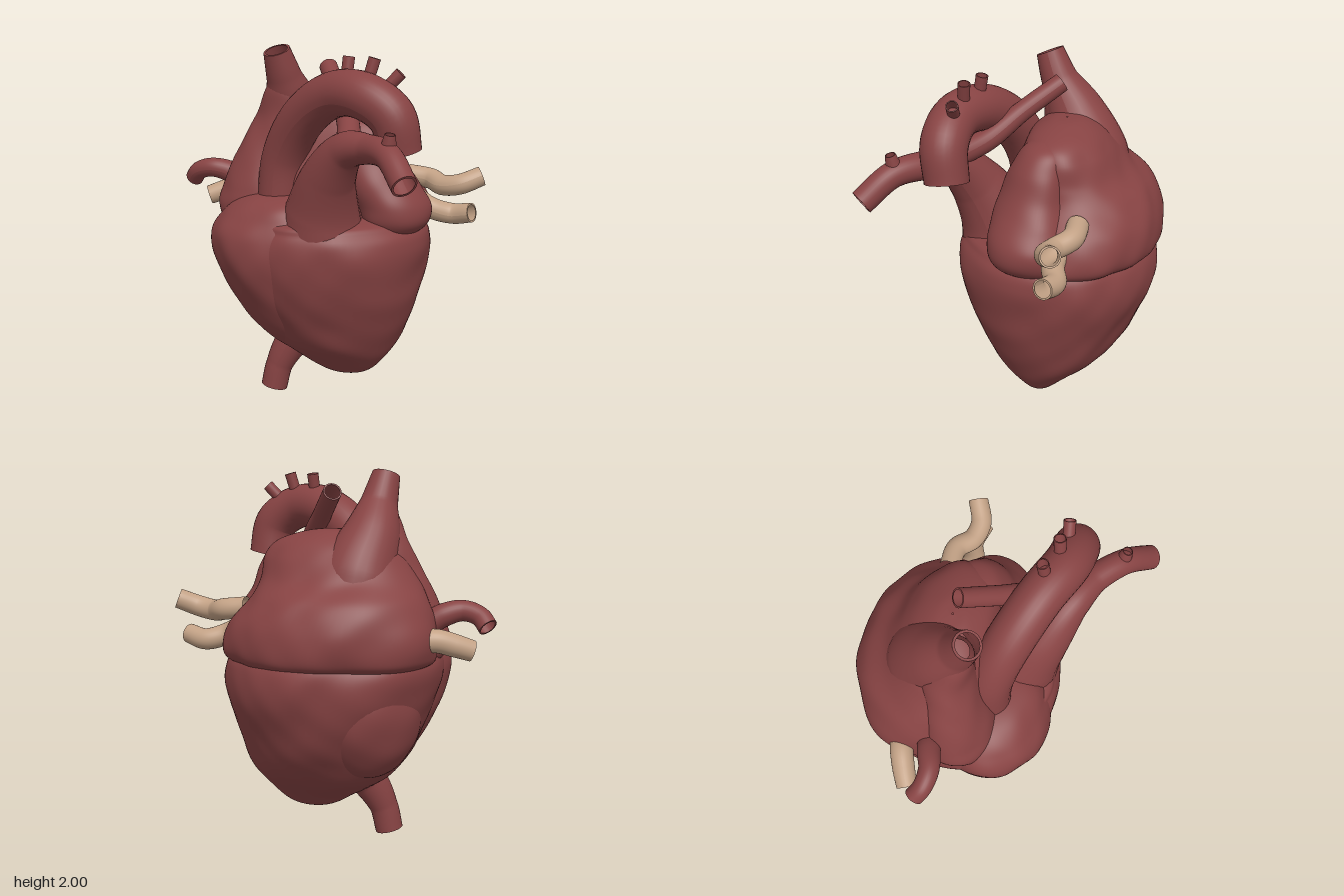
import * as THREE from 'three';

const V = (x, y, z) => new THREE.Vector3(x, y, z);

// Small smooth lumps that keep the muscle from looking machined
const lumps = (x, y, z) =>
  0.008 * Math.sin(9 * x + 5 * y + 2) * Math.sin(8 * z - 6 * y) +
  0.005 * Math.sin(11 * y + 14 * x) * Math.cos(13 * z + 4 * x) +
  0.003 * Math.sin(27 * x + 17 * z) * Math.sin(23 * y);

// Closed skin through elliptical sections [y, centreX, centreZ, radiusX, radiusZ]
function loft(sections, rings = 72, sides = 96) {
  const centres = new THREE.CatmullRomCurve3(sections.map(s => V(s[1], s[0], s[2])), false, 'catmullrom', 0.5);
  const radii = new THREE.CatmullRomCurve3(sections.map(s => V(s[3], s[4], 0)), false, 'catmullrom', 0.5);
  const pos = [], index = [];
  for (let i = 0; i <= rings; i++) {
    const c = centres.getPoint(i / rings), r = radii.getPoint(i / rings);
    const fade = Math.min(1, Math.min(r.x, r.y) / 0.15);
    for (let j = 0; j < sides; j++) {
      const a = (j / sides) * Math.PI * 2, ca = Math.cos(a), sa = Math.sin(a);
      const x = c.x + r.x * ca, z = c.z + r.y * sa;
      const d = fade * lumps(x, c.y, z);
      pos.push(x + d * ca, c.y, z + d * sa);
      if (i < rings) {
        const k = (j + 1) % sides, p = i * sides, q = p + sides;
        index.push(p + j, q + j, p + k, q + j, q + k, p + k);
      }
    }
  }
  const g = new THREE.BufferGeometry();
  g.setAttribute('position', new THREE.Float32BufferAttribute(pos, 3));
  g.setIndex(index);
  g.computeVertexNormals();
  return g;
}

// Lumpy ellipsoid for rounded swellings
function lobe([x, y, z], [rx, ry, rz]) {
  const sections = [];
  for (let i = 0; i <= 14; i++) {
    const a = (i / 14) * Math.PI, s = Math.max(0.01, Math.sin(a));
    sections.push([y - ry * Math.cos(a), x, z, rx * s, rz * s]);
  }
  return loft(sections, 42, 56);
}

// Tapered hollow vessel through stations [x, y, z, radius]; the last one is the open end
function vessel(name, material, stations) {
  const group = new THREE.Group();
  group.name = name;
  const curve = new THREE.CatmullRomCurve3(stations.map(s => V(s[0], s[1], s[2])));
  const last = stations.length - 1, steps = stations.length * 10, sides = 28;
  const g = new THREE.TubeGeometry(curve, steps, 1, sides);
  const p = g.attributes.position, n = g.attributes.normal;
  for (let i = 0; i <= steps; i++) {
    const c = curve.getPointAt(i / steps);
    const t = curve.getUtoTmapping(i / steps) * last;
    const k = Math.min(Math.floor(t), last - 1);
    const r = THREE.MathUtils.lerp(stations[k][3], stations[k + 1][3], t - k);
    for (let j = 0; j <= sides; j++) {
      const m = i * (sides + 1) + j;
      p.setXYZ(m, c.x + n.getX(m) * r, c.y + n.getY(m) * r, c.z + n.getZ(m) * r);
    }
  }
  g.computeVertexNormals();
  const wall = new THREE.Mesh(g, material);
  wall.name = name + 'Wall';
  const r = stations[last][3];
  const rim = new THREE.Mesh(new THREE.RingGeometry(r * 0.82, r, sides), material);
  rim.name = name + 'Rim';
  rim.position.copy(curve.getPointAt(1));
  rim.quaternion.setFromUnitVectors(V(0, 0, 1), curve.getTangentAt(1));
  group.add(wall, rim);
  return group;
}

export function createModel() {
  const model = new THREE.Group();
  model.name = 'heart';
  const red = new THREE.MeshStandardMaterial({ color: 0x874343, side: THREE.DoubleSide });
  red.name = 'muscle red';
  const beige = new THREE.MeshStandardMaterial({ color: 0xc2a185, side: THREE.DoubleSide });
  beige.name = 'vein beige';

  const add = (name, geometry) => {
    const mesh = new THREE.Mesh(geometry, red);
    mesh.name = name;
    model.add(mesh);
  };

  // Ventricles: the right one stands slightly proud along a slanting front groove
  add('ventricles', loft([
    [0.13, 0.14, -0.12, 0.005, 0.005],
    [0.155, 0.14, -0.12, 0.12, 0.07],
    [0.22, 0.12, -0.125, 0.225, 0.15],
    [0.35, 0.07, -0.145, 0.37, 0.31],
    [0.5, 0.04, -0.16, 0.46, 0.41],
    [0.65, 0.03, -0.165, 0.52, 0.485],
    [0.8, 0.015, -0.17, 0.565, 0.535],
    [0.93, 0.0, -0.17, 0.59, 0.545],
    [1.02, -0.01, -0.17, 0.57, 0.515],
    [1.08, -0.04, -0.17, 0.48, 0.44],
    [1.12, -0.05, -0.17, 0.01, 0.01],
  ]));
  add('rightVentricle', loft([
    [0.24, -0.06, -0.09, 0.01, 0.01],
    [0.28, -0.07, -0.08, 0.12, 0.1],
    [0.42, -0.13, -0.05, 0.22, 0.23],
    [0.6, -0.19, -0.01, 0.28, 0.295],
    [0.8, -0.21, 0.03, 0.34, 0.33],
    [0.97, -0.21, 0.04, 0.37, 0.325],
    [1.08, -0.2, 0.03, 0.33, 0.285],
    [1.15, -0.18, 0.03, 0.26, 0.225],
    [1.19, -0.16, 0.03, 0.16, 0.14],
    [1.205, -0.16, 0.03, 0.01, 0.01],
  ]));
  add('rightVentricleBack', lobe([-0.22, 0.76, -0.3], [0.29, 0.38, 0.32]));

  // Atria: one broad back mass, and a tapering front mass on each side
  add('atria', loft([
    [0.96, 0.0, -0.22, 0.4, 0.35],
    [1.0, -0.01, -0.27, 0.55, 0.42],
    [1.07, -0.01, -0.31, 0.585, 0.42],
    [1.2, -0.03, -0.31, 0.56, 0.415],
    [1.33, -0.06, -0.29, 0.48, 0.375],
    [1.43, -0.05, -0.25, 0.435, 0.3],
    [1.55, -0.02, -0.225, 0.38, 0.24],
    [1.63, 0.0, -0.21, 0.29, 0.18],
    [1.68, 0.0, -0.21, 0.13, 0.09],
    [1.69, 0.0, -0.21, 0.005, 0.005],
  ]));
  add('leftAtriumFront', loft([
    [0.98, 0.43, -0.12, 0.01, 0.01],
    [1.0, 0.43, -0.11, 0.12, 0.15],
    [1.06, 0.43, -0.1, 0.185, 0.205],
    [1.15, 0.42, -0.1, 0.205, 0.215],
    [1.25, 0.36, -0.1, 0.205, 0.205],
    [1.36, 0.29, -0.11, 0.195, 0.185],
    [1.5, 0.25, -0.13, 0.175, 0.155],
    [1.6, 0.22, -0.15, 0.13, 0.11],
    [1.65, 0.2, -0.16, 0.01, 0.01],
  ], 60, 64));
  add('rightAtriumFront', loft([
    [0.95, -0.4, -0.12, 0.01, 0.01],
    [1.0, -0.39, -0.11, 0.18, 0.17],
    [1.1, -0.37, -0.1, 0.245, 0.205],
    [1.2, -0.34, -0.11, 0.25, 0.195],
    [1.32, -0.31, -0.13, 0.245, 0.175],
    [1.45, -0.28, -0.15, 0.215, 0.155],
    [1.6, -0.25, -0.17, 0.16, 0.13],
    [1.74, -0.235, -0.14, 0.11, 0.1],
    [1.82, -0.235, -0.12, 0.06, 0.06],
  ], 60, 64));

  // Great veins
  model.add(vessel('upperVenaCava', red, [
    [-0.14, 1.2, -0.33, 0.24], [-0.17, 1.45, -0.295, 0.215], [-0.215, 1.65, -0.21, 0.16],
    [-0.23, 1.82, -0.12, 0.1], [-0.25, 1.97, -0.06, 0.075],
  ]));
  model.add(vessel('lowerVenaCava', red, [
    [-0.06, 0.44, -0.15, 0.17], [-0.18, 0.29, -0.1, 0.1], [-0.25, 0.15, -0.07, 0.078],
    [-0.28, 0.018, -0.06, 0.076],
  ]));

  // Aorta with its three arch branches
  model.add(vessel('aorta', red, [
    [-0.21, 1.1, 0.02, 0.125], [-0.17, 1.4, 0.03, 0.125], [-0.03, 1.63, 0.1, 0.125],
    [0.18, 1.77, 0.2, 0.122], [0.37, 1.775, 0.285, 0.122], [0.52, 1.68, 0.305, 0.122],
    [0.56, 1.495, 0.285, 0.115],
  ]));
  [
    [[0.24, 1.8, 0.21], [0.25, 1.965, 0.18]],
    [[0.36, 1.8, 0.25], [0.405, 1.965, 0.23]],
    [[0.44, 1.78, 0.27], [0.55, 1.895, 0.25]],
  ].forEach(([a, b], i) =>
    model.add(vessel('archBranch' + (i + 1), red, [[...a, 0.03], [...b, 0.032]])));

  // Pulmonary trunk, its far branch and a short stub
  model.add(vessel('pulmonaryTrunk', red, [
    [0.08, 1.0, 0.12, 0.23], [0.1, 1.15, 0.16, 0.2], [0.17, 1.35, 0.25, 0.145],
    [0.29, 1.5, 0.34, 0.1], [0.44, 1.53, 0.43, 0.075], [0.58, 1.52, 0.56, 0.068],
    [0.7, 1.405, 0.69, 0.066],
  ]));
  model.add(vessel('pulmonaryStub', red, [[0.575, 1.54, 0.55, 0.05], [0.59, 1.63, 0.565, 0.027]]));
  model.add(vessel('pulmonaryBranch', red, [
    [0.3, 1.53, 0.33, 0.065], [0.24, 1.62, 0.16, 0.06], [0.13, 1.75, 0, 0.052], [0.01, 1.88, -0.18, 0.05],
  ]));
  model.add(vessel('rightPulmonaryArtery', red, [
    [-0.48, 1.17, -0.22, 0.065], [-0.6, 1.25, -0.19, 0.062], [-0.7, 1.275, -0.16, 0.055],
    [-0.79, 1.25, -0.17, 0.052], [-0.84, 1.2, -0.205, 0.052],
  ]));

  // Pulmonary veins
  model.add(vessel('rightPulmonaryVein', beige, [
    [-0.48, 1.13, -0.38, 0.06], [-0.6, 1.14, -0.345, 0.062], [-0.69, 1.115, -0.31, 0.06],
    [-0.775, 1.085, -0.27, 0.055],
  ]));
  model.add(vessel('upperLeftPulmonaryVein', beige, [
    [0.43, 1.27, -0.36, 0.058], [0.56, 1.255, -0.355, 0.058], [0.65, 1.235, -0.285, 0.057],
    [0.75, 1.25, -0.265, 0.057], [0.86, 1.295, -0.31, 0.054],
  ]));
  model.add(vessel('lowerLeftPulmonaryVein', beige, [
    [0.46, 1.18, -0.3, 0.06], [0.58, 1.11, -0.265, 0.06], [0.7, 1.075, -0.3, 0.058],
    [0.82, 1.095, -0.265, 0.054],
  ]));
  return model;
}
